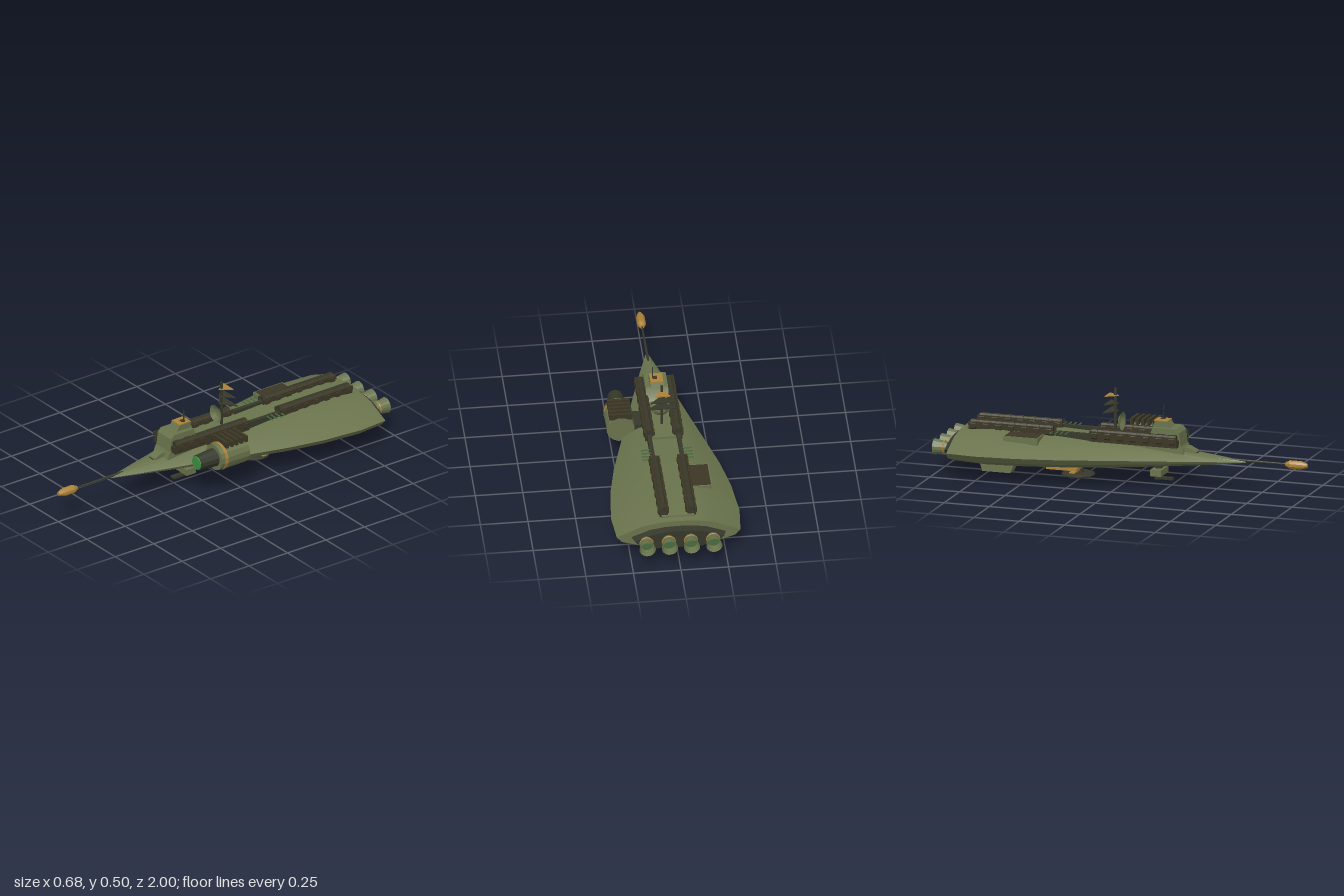
import * as THREE from 'three';
import { toCreasedNormals } from 'three/addons/utils/BufferGeometryUtils.js';

const paint = (name, color, side = THREE.FrontSide) => {
  const m = new THREE.MeshStandardMaterial({ color, side });
  m.name = name;
  return m;
};

export function createModel() {
  const root = new THREE.Group();
  root.name = 'spaceship';
  const olive = paint('olive hull', 0x69734c);
  const oliveShell = paint('olive shell', 0x69734c, THREE.DoubleSide);
  const dark = paint('dark olive', 0x35382a);
  const brown = paint('dark brown', 0x3b3624);
  const gold = paint('gold', 0xab8238);
  const green = paint('green glass', 0x3f8f42);
  const leaf = paint('dull green', 0x4a6b40);
  const purple = paint('purple lens', 0x40305c);

  const add = (name, geo, mat, x = 0, y = 0, z = 0) => {
    const mesh = new THREE.Mesh(toCreasedNormals(geo, 0.35), mat);
    mesh.name = name;
    mesh.position.set(x, y, z);
    root.add(mesh);
    return mesh;
  };
  const box = (name, mat, w, h, d, x, y, z) => add(name, new THREE.BoxGeometry(w, h, d), mat, x, y, z);
  // Cylinder along z: front radius, back radius, between two z values
  const tube = (name, mat, rf, rb, z0, z1, x, y, n = 12, open = false) => {
    const g = new THREE.CylinderGeometry(rf, rb, z1 - z0, n, 1, open);
    g.rotateY(Math.PI / n).rotateX(Math.PI / 2);
    return add(name, g, mat, x, y, (z0 + z1) / 2);
  };
  // Side profile of [z, y] points, extruded across x
  const profile = (name, mat, pts, w, x = 0) => {
    const s = new THREE.Shape(pts.map(p => new THREE.Vector2(p[0], p[1])));
    const g = new THREE.ExtrudeGeometry(s, { depth: w, bevelEnabled: false });
    return add(name, g.translate(0, 0, -w / 2).rotateY(-Math.PI / 2), mat, x);
  };

  // Hull: one section, scaled along the length
  const half = [[0, 0.095], [0.1, 0.09], [0.2, 0.069], [0.338, -0.003], [0.31, -0.037], [0.17, -0.083], [0, -0.083]];
  const section = [...half, ...half.slice(1, -1).reverse().map(([x, y]) => [-x, y])];
  // z, half width, upper scale, lower scale
  const stations = [
    [-0.885, 0.325, 0.84, 0.93], [-0.72, 0.338, 1, 1], [-0.5, 0.317, 0.96, 0.96], [-0.3, 0.277, 0.87, 0.88],
    [-0.1, 0.222, 0.75, 0.77], [0.1, 0.166, 0.6, 0.62], [0.3, 0.112, 0.42, 0.44], [0.5, 0.055, 0.23, 0.24], [0.66, 0.006, 0.06, 0.05]];
  const loft = (rows, base) => {
    const pos = [], idx = [], n = section.length;
    for (const [z, w, up, dn, lift = 0] of rows)
      for (const [x, y] of section) pos.push(x * w / 0.338, base + lift + y * (y > 0 ? up : dn), z);
    for (let i = 0; i < rows.length - 1; i++)
      for (let j = 0; j < n; j++) {
        const a = i * n + j, b = i * n + (j + 1) % n;
        idx.push(a, a + n, b, b, a + n, b + n);
      }
    const last = (rows.length - 1) * n;
    for (let j = 1; j < n - 1; j++) idx.push(0, j, j + 1, last, last + j + 1, last + j);
    const g = new THREE.BufferGeometry();
    g.setAttribute('position', new THREE.Float32BufferAttribute(pos, 3));
    g.setIndex(idx);
    return g;
  };
  add('hull', loft(stations, 0.156), olive);
  add('engineBlock', loft([[-0.925, 0.235, 0.5, 0.68], [-0.88, 0.25, 0.55, 0.74]], 0.152), dark);

  // Engines
  for (const x of [-0.175, -0.058, 0.058, 0.175]) {
    tube('nozzle', oliveShell, 0.03, 0.043, -1, -0.925, x, 0.148, 16, true);
    tube('nozzleGlow', leaf, 0.03, 0.033, -0.96, -0.925, x, 0.148, 16);
    add('nozzleRing', new THREE.TorusGeometry(0.034, 0.004, 6, 16), gold, x, 0.148, -0.943);
  }

  // Nose boom and sensor pod
  tube('noseBoom', dark, 0.005, 0.008, 0.58, 0.89, 0, 0.163, 8);
  const pod = new THREE.LatheGeometry([[0, -0.06], [0.011, -0.06], [0.023, -0.035], [0.023, 0.025], [0.011, 0.06], [0, 0.06]]
    .map(p => new THREE.Vector2(p[0], p[1])), 10).rotateX(Math.PI / 2);
  add('nosePod', pod, gold, 0, 0.163, 0.94);

  // Dorsal decks and bridge
  profile('rearSpine', olive, [[-0.85, 0.2], [-0.17, 0.2], [-0.17, 0.237], [-0.37, 0.246], [-0.72, 0.258], [-0.85, 0.245]], 0.17);
  profile('foreDeck', olive, [[-0.18, 0.18], [0.34, 0.17], [0.325, 0.215], [0.3, 0.25], [-0.18, 0.25]], 0.125);
  profile('bridge', olive, [[0.12, 0.24], [0.32, 0.215], [0.31, 0.295], [0.29, 0.315], [0.165, 0.315], [0.145, 0.27]], 0.118);
  profile('bridgeCabin', olive, [[0.155, 0.31], [0.26, 0.31], [0.235, 0.346], [0.17, 0.346]], 0.07);
  box('cabinRoof', gold, 0.068, 0.006, 0.075, 0, 0.348, 0.202);
  box('roofHatch', brown, 0.022, 0.006, 0.022, 0.008, 0.352, 0.2);
  box('bridgeAerial', dark, 0.005, 0.075, 0.005, 0.02, 0.383, 0.2);
  profile('foreCabin', olive, [[0.33, 0.17], [0.4, 0.17], [0.39, 0.195], [0.35, 0.215], [0.33, 0.215]], 0.055);
  box('foreCabinWindow', dark, 0.034, 0.012, 0.004, 0, 0.184, 0.396);

  // Launch rails with clamps and brackets
  for (const s of [-1, 1]) {
    for (const [z0, z1, x] of [[-0.84, -0.37, 0.073], [-0.17, 0.31, 0.076]]) {
      const len = z1 - z0, mid = (z0 + z1) / 2;
      box('railBase', brown, 0.044, 0.035, len, s * x, 0.24, mid);
      tube('launchRail', dark, 0.023, 0.023, z0 + 0.008, z1 - 0.008, s * x, 0.264, 8);
      for (const dx of [-0.022, 0.022]) box('railEdge', brown, 0.01, 0.02, len, s * x + dx, 0.268, mid);
      const count = 7;
      for (let i = 0; i < count; i++)
        tube('railClamp', brown, 0.032, 0.032, z0 + 0.012 + i * (len - 0.054) / (count - 1),
          z0 + 0.042 + i * (len - 0.054) / (count - 1), s * x, 0.257, 8);
    }
    // Short aerials between the rails
    for (let i = 0; i < 4; i++) box('sideAerial', leaf, 0.05, 0.005, 0.006, s * 0.108, 0.258, -0.375 + i * 0.027);
    box('aerialBase', dark, 0.022, 0.05, 0.2, s * 0.077, 0.235, -0.27);
  }

  // Mast with triangular vanes and a forward dish
  box('mast', dark, 0.012, 0.255, 0.012, 0, 0.37, -0.06);
  for (const [y, w, mat] of [[0.373, 0.083, dark], [0.413, 0.063, dark], [0.455, 0.043, gold]]) {
    const tri = new THREE.Shape([new THREE.Vector2(-w, 0.045), new THREE.Vector2(0, -0.018), new THREE.Vector2(w, 0.045)]);
    const g = new THREE.ExtrudeGeometry(tri, { depth: 0.005, bevelEnabled: false }).rotateX(-Math.PI / 2);
    add('mastVane', g, mat, 0, y, -0.06);
  }
  const dish = new THREE.LatheGeometry([[0, 0], [0.025, 0.006], [0.05, 0.024]]
    .map(p => new THREE.Vector2(p[0], p[1])), 20).rotateX(Math.PI / 2);
  add('dish', dish, oliveShell, 0, 0.322, -0.045);

  // Side cannon on the left
  const gx = 0.211, gy = 0.205;
  tube('cannonBody', olive, 0.074, 0.074, -0.035, 0.105, gx, gy, 16);
  tube('cannonBand', gold, 0.076, 0.076, 0.105, 0.122, gx, gy, 16);
  tube('cannonCollar', olive, 0.072, 0.074, 0.122, 0.145, gx, gy, 16);
  tube('cannonBarrel', dark, 0.041, 0.05, 0.145, 0.255, gx, gy, 12);
  tube('cannonLens', green, 0.037, 0.039, 0.25, 0.26, gx, gy, 12);
  for (let i = 0; i < 5; i++) box('coolingFin', brown, 0.12, 0.034, 0.016, gx, 0.284, -0.025 + i * 0.031);
  box('cannonPylon', dark, 0.12, 0.05, 0.12, 0.12, 0.2, 0.03);

  // Right deck hatch
  box('hatchFrame', olive, 0.11, 0.05, 0.19, -0.153, 0.218, -0.515);
  box('hatchCover', brown, 0.096, 0.006, 0.174, -0.153, 0.242, -0.515);

  // Chin turret
  box('chinPylon', dark, 0.04, 0.04, 0.035, 0, 0.102, 0.18);
  box('chinTurret', olive, 0.126, 0.034, 0.06, 0, 0.071, 0.182);
  box('chinMount', dark, 0.035, 0.03, 0.025, 0, 0.042, 0.175);
  box('chinGun', dark, 0.03, 0.012, 0.1, 0, 0.034, 0.21);

  // Belly scanner: gold plate, arm and purple-lensed disc
  box('scannerPlate', gold, 0.2, 0.014, 0.17, 0, 0.063, -0.325);
  box('scannerPylon', dark, 0.09, 0.03, 0.12, 0, 0.083, -0.3);
  box('scannerArm', gold, 0.214, 0.006, 0.03, 0, 0.047, -0.265);
  add('scannerNeck', new THREE.CylinderGeometry(0.022, 0.03, 0.06, 10), dark, 0, 0.055, -0.265);
  const disc = [[0, 0.01], [0.068, 0.01], [0.088, 0.018], [0.088, 0.022], [0.068, 0.03], [0, 0.03]];
  add('scannerDisc', new THREE.LatheGeometry(disc.map(p => new THREE.Vector2(p[0], p[1])), 20), dark, 0, 0, -0.265);
  add('scannerLens', new THREE.CylinderGeometry(0.064, 0.064, 0.004, 20), purple, 0, 0.009, -0.265);

  // Ventral keel cabin with windows
  profile('keelCabin', olive, [[-0.63, 0], [-0.59, 0.09], [-0.81, 0.09], [-0.785, 0]], 0.07);
  for (const s of [-1, 1])
    for (let i = 0; i < 3; i++) box('keelWindow', green, 0.004, 0.025, 0.042, s * 0.035, 0.052, -0.645 - i * 0.055);

  return root;
}
